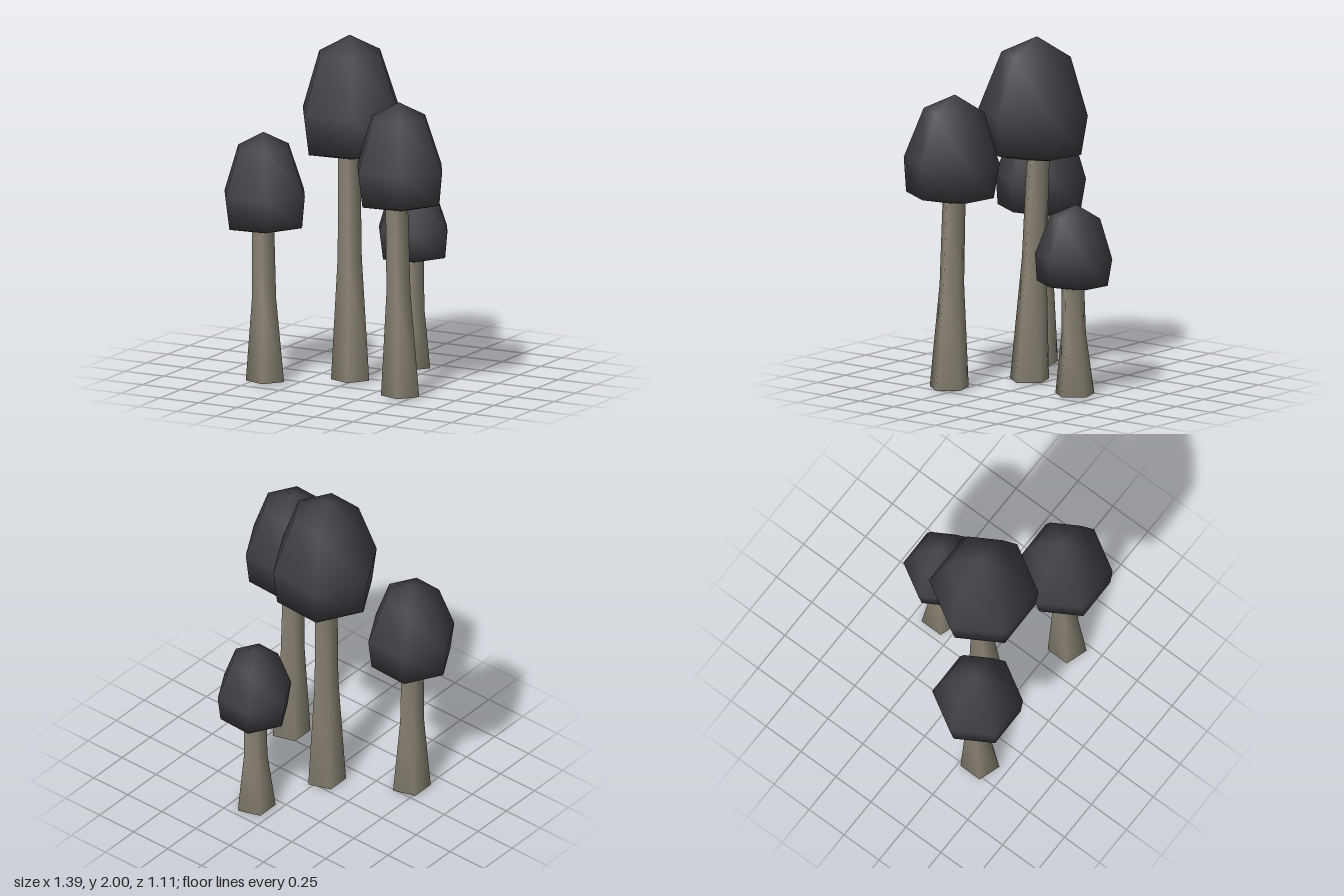
import * as THREE from 'three';
import { mergeVertices } from 'three/addons/utils/BufferGeometryUtils.js';

const capMaterial = new THREE.MeshStandardMaterial({ color: 0x403f45 });
capMaterial.name = 'charcoal cap';
const stemMaterial = new THREE.MeshStandardMaterial({ color: 0x8a8474 });
stemMaterial.name = 'grey-brown stem';

// Revolved low-poly solid with a corner on +x and smooth shared normals
function smoothLathe(profile, sides, moveVertices) {
  let geo = new THREE.LatheGeometry(
    profile.map(([r, y]) => new THREE.Vector2(r, y)), sides, Math.PI / 2);
  geo.deleteAttribute('uv');
  geo.deleteAttribute('normal');
  geo = mergeVertices(geo, 1e-4);
  if (moveVertices) moveVertices(geo.attributes.position);
  geo.computeVertexNormals();
  return geo;
}

// Five-sided stem, flared at the foot and leaning from base to top
function makeStem(base, top, height) {
  const profile = [[0, 0], [0.116, 0.01], [0.073, height * 0.54], [0.068, height]];
  const geo = smoothLathe(profile, 5, (p) => {
    for (let i = 0; i < p.count; i++) {
      const t = p.getY(i) / height;
      p.setX(i, p.getX(i) + THREE.MathUtils.lerp(base[0], top[0], t));
      p.setZ(i, p.getZ(i) + THREE.MathUtils.lerp(base[1], top[1], t));
    }
  });
  const mesh = new THREE.Mesh(geo, stemMaterial);
  mesh.name = 'stem';
  return mesh;
}

// Six-sided egg-shaped cap, pivoting at its widest ring and slightly tilted
function makeCap([x, z], radius, bottom, top) {
  const h = top - bottom;
  const wide = 0.395;
  const profile = [[0, 0], [0.915, 0.08], [1, wide], [0.635, 0.857], [0, 1]]
    .map(([r, t]) => [r * radius, (t - wide) * h]);
  const mesh = new THREE.Mesh(smoothLathe(profile, 6), capMaterial);
  mesh.name = 'cap';
  mesh.position.set(x, bottom + wide * h, z);
  mesh.rotation.set(-0.03, 0, 0.04);
  return mesh;
}

export function createModel() {
  const model = new THREE.Group();
  model.name = 'mushroomCluster';

  // base and stemTop are [x, z]; bottom and top are the cap's heights
  const mushrooms = [
    { name: 'tallMushroom', base: [-0.018, 0.08], stemTop: [-0.05, 0.04],
      cap: [-0.03, 0.06], radius: 0.313, bottom: 1.28, top: 2.0 },
    { name: 'leftMushroom', base: [0.43, 0.305], stemTop: [0.398, 0.293],
      cap: [0.415, 0.297], radius: 0.275, bottom: 1.075, top: 1.705 },
    { name: 'rightMushroom', base: [-0.426, 0.34], stemTop: [-0.453, 0.32],
      cap: [-0.44, 0.332], radius: 0.26, bottom: 0.86, top: 1.445 },
    { name: 'backMushroom', base: [0.13, -0.367], stemTop: [0.142, -0.361],
      cap: [0.137, -0.365], radius: 0.222, bottom: 0.615, top: 1.11 },
  ];

  for (const m of mushrooms) {
    const group = new THREE.Group();
    group.name = m.name;
    group.add(makeStem(m.base, m.stemTop, m.bottom + 0.05));
    group.add(makeCap(m.cap, m.radius, m.bottom, m.top));
    model.add(group);
  }
  return model;
}
